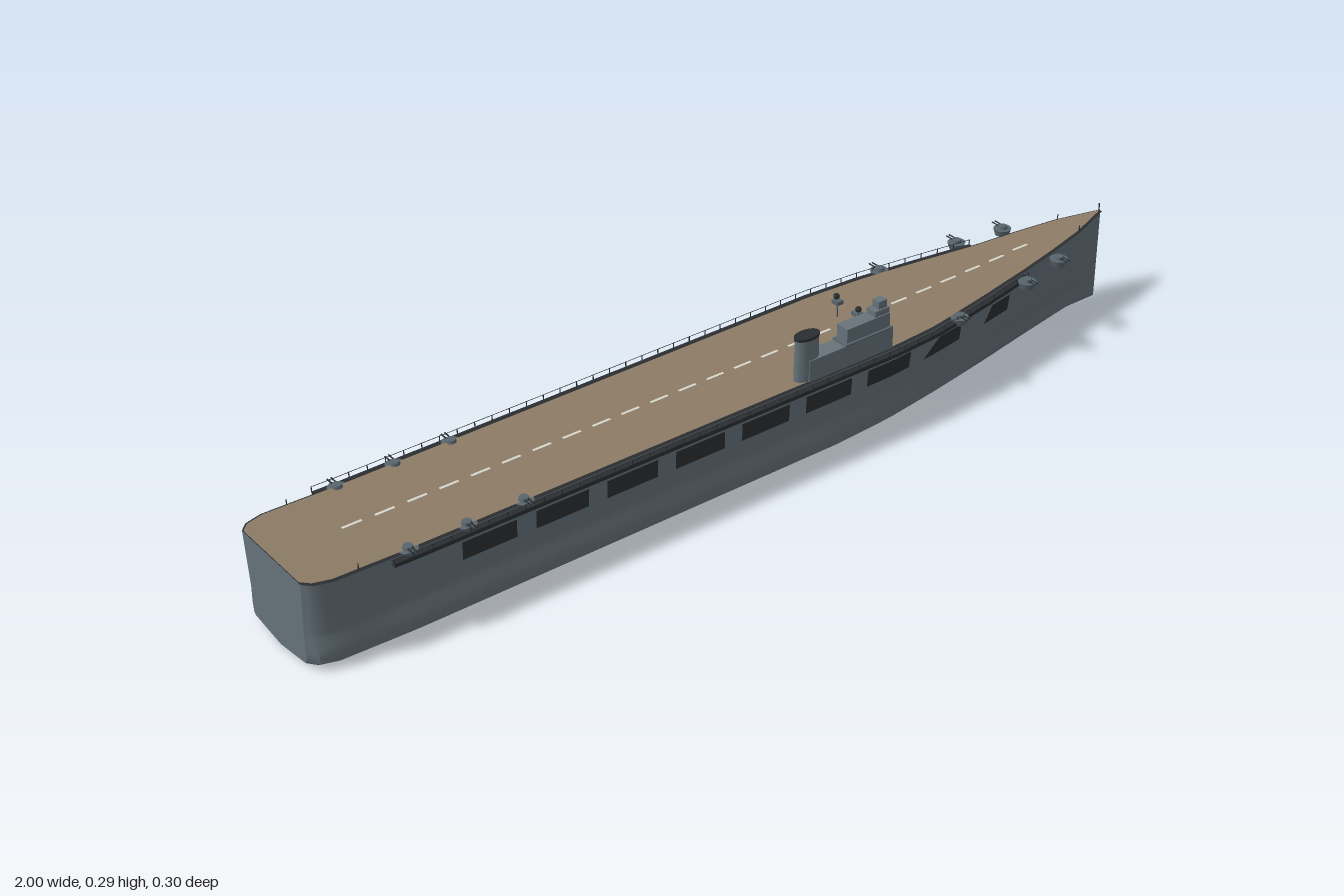
import * as THREE from 'three';
import { toCreasedNormals } from 'three/addons/utils/BufferGeometryUtils.js';

const mat = (name, color, side = THREE.FrontSide) => {
  const m = new THREE.MeshStandardMaterial({ color, side });
  m.name = name;
  return m;
};

// linear interpolation through [x, value] pairs
const lerpTable = (t, x) => {
  for (let i = 1; i < t.length; i++) {
    if (x <= t[i][0]) {
      const [x0, v0] = t[i - 1], [x1, v1] = t[i];
      return v0 + (v1 - v0) * Math.max(0, (x - x0) / (x1 - x0));
    }
  }
  return t[t.length - 1][1];
};
const DECK = [[-1, 0.096], [-0.985, 0.112], [-0.95, 0.122], [0.3, 0.126], [0.42, 0.118], [0.57, 0.094],
  [0.68, 0.074], [0.8, 0.053], [0.9, 0.032], [0.995, 0]];
const FOOT = [[-1, 0.092], [-0.985, 0.112], [-0.95, 0.124], [-0.8, 0.13], [0.15, 0.13], [0.3, 0.121], [0.45, 0.1],
  [0.6, 0.073], [0.75, 0.043], [0.9, 0.015], [0.99, 0]];
const SHEER = [[-1, 0.186], [-0.8, 0.182], [0.4, 0.182], [0.7, 0.189], [0.995, 0.206]];
const deckHalf = x => lerpTable(DECK, x);
const deckY = x => lerpTable(SHEER, x);

// half section of the hull at x, keel to deck edge, as [z, y]
function section(x) {
  const f = lerpTable(FOOT, x), d = deckHalf(x) + (x < 0.99 ? 0.005 : 0), top = deckY(x);
  const mid = t => f + (d - f) * t;
  return [[0, 0], [f * 0.5, 0.006], [f * 0.95, 0.012], [f, 0.017], [f * 1.015, 0.035], [f * 1.01, 0.052],
    [mid(0.35) * 0.965, 0.068], [mid(0.45) * 0.962, 0.08], [mid(0.8) * 0.98, 0.14], [d, top]];
}
const hullZ = (x, y) => lerpTable(section(x).slice(3).map(([z, h]) => [h, z]), y);

// surface through rows of points
function loft(rows, crease = 0.5) {
  const n = rows[0].length, index = [];
  for (let i = 0; i < rows.length - 1; i++) {
    for (let j = 0; j < n - 1; j++) {
      const a = i * n + j, b = a + n;
      index.push(a, b, a + 1, b, b + 1, a + 1);
    }
  }
  const g = new THREE.BufferGeometry();
  g.setAttribute('position', new THREE.Float32BufferAttribute(rows.flat(2), 3));
  g.setIndex(index);
  return toCreasedNormals(g, crease);
}
const range = (a, b, n) => Array.from({ length: n + 1 }, (_, i) => a + (b - a) * i / n);

export function createModel() {
  const ship = new THREE.Group();
  ship.name = 'aircraftCarrier';
  const hullGrey = mat('hull grey', 0x66727a);
  const gunGrey = mat('fitting grey', 0x59656d);
  const dark = mat('dark grey', 0x2b2e31, THREE.DoubleSide);
  const wood = mat('deck tan', 0x8c7b65);
  const white = mat('marking white', 0xd9d6cb);

  const add = (name, geo, material, x = 0, y = 0, z = 0, parent = ship) => {
    const m = new THREE.Mesh(geo, material);
    m.name = name;
    m.position.set(x, y, z);
    parent.add(m);
    return m;
  };
  const box = (name, m, w, h, d, x, y, z, parent) => add(name, new THREE.BoxGeometry(w, h, d), m, x, y, z, parent);

  // hull with flat transom
  const stations = [-1, -0.993, -0.985, -0.967, ...range(-0.95, 0.995, 60)];
  const hullRows = stations.map(x => {
    const half = section(x);
    const ring = [...half.slice(1).reverse().map(([z, y]) => [-z, y]), ...half];
    return ring.map(([z, y]) => [x, y, z]);
  });
  hullRows.unshift(hullRows[0].map(([x, y]) => [x, y, 0]));
  add('hull', loft(hullRows, 0.6), hullGrey);

  // deck margin and planked flight deck
  const strip = (grow, lift) => loft(stations.map(x => {
    const w = Math.max(0, deckHalf(x) + grow), y = deckY(x) + lift;
    return [[x, y, w], [x, y, 0], [x, y, -w]];
  }));
  add('deckMargin', strip(0.005, 0), dark);
  add('flightDeck', strip(-0.001, 0.0025), wood);

  // dashed centre line
  for (let i = 0; i < 25; i++) {
    const x = -0.84 + i * 0.0667;
    box('centreDash', white, 0.04, 0.001, 0.006, x, deckY(x) + 0.0034, 0);
  }

  for (const s of [1, -1]) {
    // hangar openings; the forward two have a raked after edge
    const panel = (x0, x1, rake) => {
      const rows = range(0, 1, 4).map(t => range(0.118, 0.156, 3).map(y => {
        const left = x0 + rake * (y - 0.118) / 0.038;
        const x = left + (x1 - left) * t;
        return [x, y, s * (hullZ(x, y) + 0.002)];
      }));
      add('hangarOpening', loft(rows), dark);
    };
    for (let i = 0; i < 7; i++) panel(-0.697 + i * 0.1553, -0.583 + i * 0.1553, 0);
    panel(0.39, 0.5, 0.04);
    panel(0.58, 0.658, 0.02);

    // side gallery following the deck edge
    const edge = x => deckHalf(x) + 0.018;
    const gallery = range(-0.84, 0.7, 50).map(x => {
      const a = deckHalf(x) + 0.001, b = edge(x), y = deckY(x) - 0.003;
      return [[x, y, a], [x, y, b], [x, y - 0.008, b], [x, y - 0.008, a]].map(([px, py, pz]) => [px, py, pz * s]);
    });
    add('sideGallery', loft(gallery), dark);

    // gallery railing
    const rail = range(-0.84, 0.7, 40).map(x => new THREE.Vector3(x, deckY(x) + 0.007, s * edge(x)));
    add('galleryRail', new THREE.TubeGeometry(new THREE.CatmullRomCurve3(rail), 80, 0.0007, 4), dark);
    for (const p of rail) box('railPost', dark, 0.0015, 0.011, 0.0015, p.x, p.y - 0.005, p.z);

    // sponsons with twin guns
    for (const [x, z] of [[-0.8, 0.119], [-0.68, 0.119], [-0.56, 0.119], [0.48, 0.121], [0.68, 0.106], [0.79, 0.084]]) {
      const gun = new THREE.Group();
      gun.name = 'gunSponson';
      gun.position.set(x, deckY(x) - 0.002, s * z);
      ship.add(gun);
      add('sponsonTub', new THREE.CylinderGeometry(0.019, 0.015, 0.014, 14), gunGrey, 0, -0.003, 0, gun);
      add('gunMount', new THREE.CylinderGeometry(0.009, 0.011, 0.007, 12), gunGrey, 0, 0.007, 0, gun);
      for (const dx of [-0.004, 0.004]) {
        const barrel = add('gunBarrel', new THREE.CylinderGeometry(0.0013, 0.0016, 0.026, 6), dark, dx, 0.008, s * 0.014, gun);
        barrel.rotation.x = Math.PI / 2;
      }
    }

    // raised directors abreast of the island
    box('directorStem', gunGrey, 0.002, 0.032, 0.002, 0.29, 0.2, s * 0.03);
    box('directorBase', gunGrey, 0.016, 0.008, 0.018, 0.29, 0.219, s * 0.03);
    add('directorHead', new THREE.SphereGeometry(0.0065, 12, 8), dark, 0.29, 0.23, s * 0.033);

    // forward and after deck staffs
    for (const x of [0.9, -0.9]) {
      box('deckStaff', dark, 0.0015, 0.014, 0.0015, x, deckY(x) + 0.007, s * deckHalf(x));
    }
  }
  box('jackstaff', dark, 0.002, 0.026, 0.002, 0.99, 0.212, 0);

  // island superstructure on the +z edge
  const island = new THREE.Group();
  island.name = 'island';
  island.position.z = 0.108;
  ship.add(island);
  box('islandBase', hullGrey, 0.21, 0.046, 0.036, 0.194, 0.206, 0, island);
  box('bridge', hullGrey, 0.108, 0.034, 0.031, 0.238, 0.246, 0, island);
  box('bridgeWing', gunGrey, 0.12, 0.003, 0.04, 0.237, 0.231, 0, island);
  box('mastBase', hullGrey, 0.036, 0.012, 0.026, 0.274, 0.269, 0, island);
  box('directorTower', hullGrey, 0.021, 0.017, 0.019, 0.278, 0.283, 0, island);
  box('bridgeWindows', dark, 0.001, 0.005, 0.024, 0.2995, 0.221, 0, island);

  // oval funnel with dark rim and mouth
  const funnel = add('funnel', new THREE.CylinderGeometry(0.027, 0.029, 0.092, 20), hullGrey, 0.096, 0.23, 0, island);
  const rim = add('funnelRim', new THREE.CylinderGeometry(0.029, 0.029, 0.006, 20), dark, 0.096, 0.276, 0, island);
  funnel.scale.z = rim.scale.z = 0.58;

  return ship;
}
